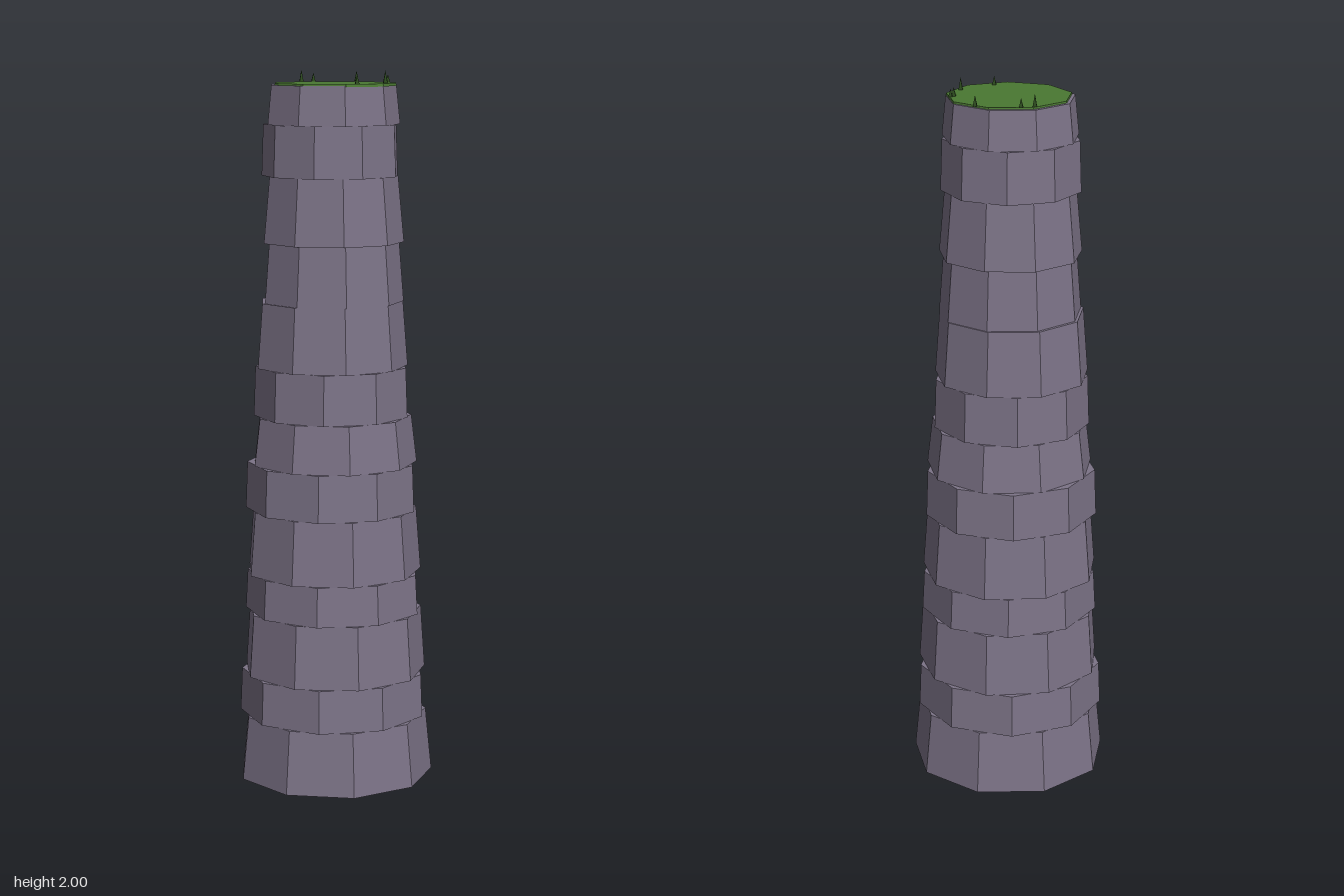
import * as THREE from 'three';

const SIDES = 9;
const stone = new THREE.MeshStandardMaterial({ color: 0x7d7488 });
const moss = new THREE.MeshStandardMaterial({ color: 0x4a7832 });
const blade = new THREE.MeshStandardMaterial({ color: 0x2c4a1e });
stone.name = 'stone';
moss.name = 'moss';
blade.name = 'darkGrass';
for (const m of [stone, moss, blade]) m.flatShading = true;

// nine-sided drum; turn is the angle in degrees of one corner from +x towards +z
function drum(name, material, y0, y1, rBottom, rTop, turn, x) {
  const geometry = new THREE.CylinderGeometry(
    rTop, rBottom, y1 - y0, SIDES, 1, false, Math.PI / 2 - THREE.MathUtils.degToRad(turn));
  const mesh = new THREE.Mesh(geometry, material);
  mesh.name = name;
  mesh.position.set(x, (y0 + y1) / 2, 0);
  return mesh;
}

export function createModel() {
  const group = new THREE.Group();
  group.name = 'stonePillar';

  // stacked stone layers: bottom y, top y, bottom radius, top radius, turn, x offset
  const layers = [
    [0, 0.18, 0.28, 0.262, 0, -0.006],
    [0.18, 0.302, 0.267, 0.262, 20, -0.01],
    [0.302, 0.48, 0.262, 0.25, -4, -0.008],
    [0.48, 0.592, 0.252, 0.246, 22, -0.008],
    [0.592, 0.772, 0.251, 0.237, -2, -0.012],
    [0.772, 0.904, 0.244, 0.239, 20, -0.016],
    [0.904, 1.038, 0.236, 0.22, 0, -0.01],
    [1.038, 1.178, 0.22, 0.215, 17, -0.016],
    [1.178, 1.36, 0.217, 0.203, 0, -0.02],
    [1.36, 1.526, 0.2, 0.187, 0, -0.014],
    [1.526, 1.71, 0.2, 0.183, 2, -0.014],
    [1.71, 1.852, 0.194, 0.189, 25, -0.018],
    [1.852, 1.96, 0.189, 0.178, 0, -0.015],
  ];
  layers.forEach((layer, i) => group.add(drum(`stoneLayer${i + 1}`, stone, ...layer)));

  // thin moss cap
  group.add(drum('mossCap', moss, 1.957, 1.965, 0.174, 0.172, 0, -0.009));

  // grass blades around the rim: x, z, height
  const blades = [
    [-0.057, -0.163, 0.03], [0.076, -0.135, 0.022], [0.079, -0.121, 0.024],
    [0.129, -0.054, 0.035], [0.119, 0.058, 0.024],
    [-0.149, -0.083, 0.025], [-0.163, -0.047, 0.034],
  ];
  const grass = new THREE.Group();
  grass.name = 'grassBlades';
  for (const [x, z, h] of blades) {
    const mesh = new THREE.Mesh(new THREE.ConeGeometry(0.008, h, 4), blade);
    mesh.name = 'grassBlade';
    mesh.position.set(x, 1.965 + h / 2, z);
    grass.add(mesh);
  }
  group.add(grass);
  return group;
}
